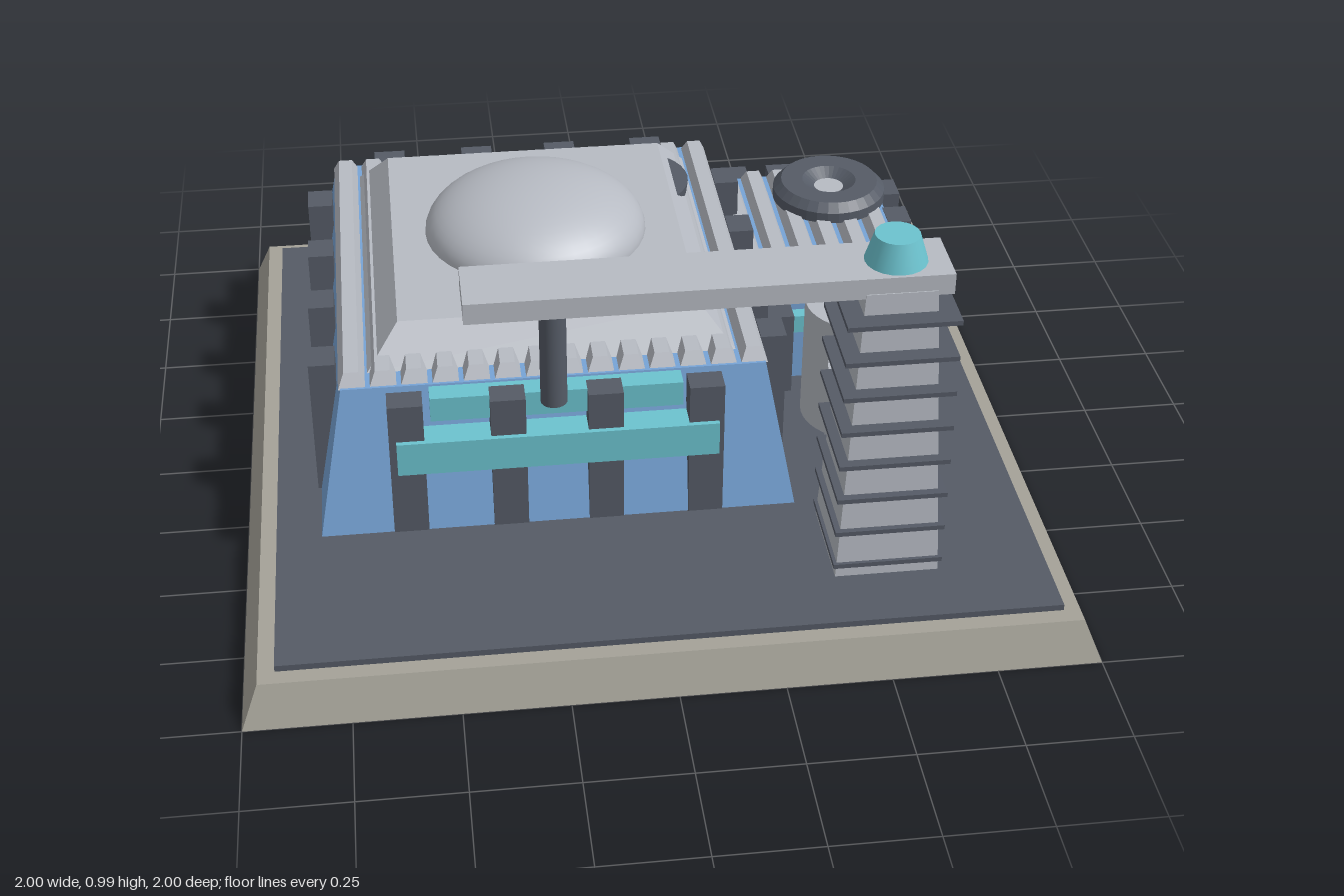
import * as THREE from 'three';

const mat = (name, color) => {
  const m = new THREE.MeshStandardMaterial({ color });
  m.name = name;
  return m;
};

export function createModel() {
  const concrete = mat('concrete', 0xa5a298);
  const dark = mat('dark metal', 0x555b66);
  const blue = mat('blue wall', 0x77a4d6);
  const grey = mat('light metal', 0xb7bbc3);
  const cyan = mat('cyan glass', 0x6cc3cf);

  const model = new THREE.Group();
  model.name = 'factory';

  const add = (name, geometry, material, x = 0, y = 0, z = 0, parent = model) => {
    const mesh = new THREE.Mesh(geometry, material);
    mesh.name = name;
    mesh.position.set(x, y, z);
    parent.add(mesh);
    return mesh;
  };
  const group = (name) => {
    const g = new THREE.Group();
    g.name = name;
    model.add(g);
    return g;
  };
  // Box standing on y = 0 whose top is scaled to tw x td
  const frustum = (w, d, tw, td, h) => {
    const g = new THREE.BoxGeometry(w, h, d).translate(0, h / 2, 0);
    const p = g.attributes.position;
    for (let i = 0; i < p.count; i++) {
      if (p.getY(i) > h / 2) {
        p.setX(i, p.getX(i) * tw / w);
        p.setZ(i, p.getZ(i) * td / d);
      }
    }
    g.computeVertexNormals();
    return g;
  };
  const box = (w, h, d) => frustum(w, d, w, d, h);

  // Ground
  add('foundation', frustum(2, 2, 1.92, 1.92, 0.1), concrete);
  add('yard', box(1.84, 0.018, 1.84), dark, 0, 0.098, 0);

  // Main hall
  const cx = -0.225, cz = -0.17, floor = 0.115;
  add('hallWalls', frustum(1.17, 1.26, 1.03, 1.1, 0.375), blue, cx, floor, cz);
  const hallRibs = group('hallRoofRibs');
  for (let i = 0; i < 14; i++) {
    add('roofRib', frustum(0.066, 1.09, 0.036, 1.05, 0.035), grey, cx + (i - 6.5) * 0.075, 0.487, cz, hallRibs);
  }
  add('hallRoof', frustum(0.9, 0.97, 0.74, 0.82, 0.095), grey, cx, 0.49, cz);
  const dome = add('dome', new THREE.SphereGeometry(0.285, 40, 14, 0, Math.PI * 2, 0, Math.PI / 2), grey, cx, 0.583, cz);
  dome.scale.y = 0.138 / 0.285;
  add('roofVent', new THREE.CylinderGeometry(0.15, 0.145, 0.042, 32), dark, 0.06, 0.536, -0.44);

  // Hall buttresses on all four sides
  const hallPillars = group('hallPillars');
  const hallPillar = box(0.085, 0.37, 0.065);
  for (const x of [-0.59, -0.345, -0.11, 0.135]) {
    for (const z of [0.43, -0.768]) add('pillar', hallPillar, dark, x, floor, z, hallPillars);
  }
  for (const z of [-0.555, -0.292, -0.042, 0.22]) {
    for (const x of [-0.785, 0.33]) {
      add('pillar', hallPillar, dark, x, floor, z, hallPillars).rotation.y = Math.PI / 2;
    }
  }

  // Front glazing
  add('upperWindow', box(0.61, 0.065, 0.08), cyan, -0.225, 0.42, 0.395);
  add('lowerWindow', box(0.78, 0.09, 0.08), cyan, -0.225, 0.295, 0.435);

  // Annex
  add('annexWalls', box(0.61, 0.235, 0.68), blue, 0.485, floor, -0.43);
  const annexRibs = group('annexRoofRibs');
  for (let i = 0; i < 8; i++) {
    add('roofRib', frustum(0.066, 0.68, 0.036, 0.64, 0.035), grey, 0.745 - i * 0.075, 0.347, -0.43, annexRibs);
  }
  const annexPillars = group('annexPillars');
  const annexPillar = box(0.085, 0.237, 0.065);
  for (const x of [0.245, 0.395, 0.54, 0.69]) {
    for (const z of [-0.8, -0.055]) add('pillar', annexPillar, dark, x, floor, z, annexPillars);
  }
  for (const z of [-0.665, -0.51, -0.355, -0.2]) {
    add('pillar', annexPillar, dark, 0.817, floor, z, annexPillars).rotation.y = Math.PI / 2;
  }
  add('annexWindow', box(0.33, 0.05, 0.05), cyan, 0.49, 0.28, -0.08);

  // Large fan housing on the annex roof
  const housing = [[0, 0.35], [0.11, 0.35], [0.157, 0.375], [0.157, 0.405], [0.135, 0.428], [0.075, 0.428], [0.04, 0.405], [0.04, 0.36]]
    .map(([r, y]) => new THREE.Vector2(r, y));
  const fan = add('fanHousing', new THREE.LatheGeometry(housing, 32).toNonIndexed(), dark, 0.637, 0, -0.6);
  fan.geometry.computeVertexNormals();
  add('fanHub', new THREE.CylinderGeometry(0.041, 0.041, 0.04, 20), grey, 0.637, 0.387, -0.6);

  // Storage silos
  for (const z of [0.075, 0.385]) {
    add('silo', new THREE.CylinderGeometry(0.141, 0.141, 0.34, 40), grey, 0.587, floor + 0.17, z);
  }

  // Crane tower with ledges
  const tx = 0.53, tz = 0.63;
  add('towerShaft', frustum(0.25, 0.25, 0.165, 0.165, 0.765), grey, tx, floor, tz);
  const ledges = group('towerLedges');
  for (let i = 0; i < 8; i++) {
    add('ledge', box(0.262, 0.012, 0.262), dark, tx, 0.144 + i * 0.096, tz, ledges);
  }
  add('craneBeam', box(1.1, 0.052, 0.16), grey, 0.1, 0.868, tz);
  add('craneHoist', new THREE.CylinderGeometry(0.031, 0.031, 0.28, 20), dark, -0.248, 0.735, tz);
  add('beacon', new THREE.CylinderGeometry(0.052, 0.073, 0.068, 20), cyan, tx, 0.953, tz);

  return model;
}
